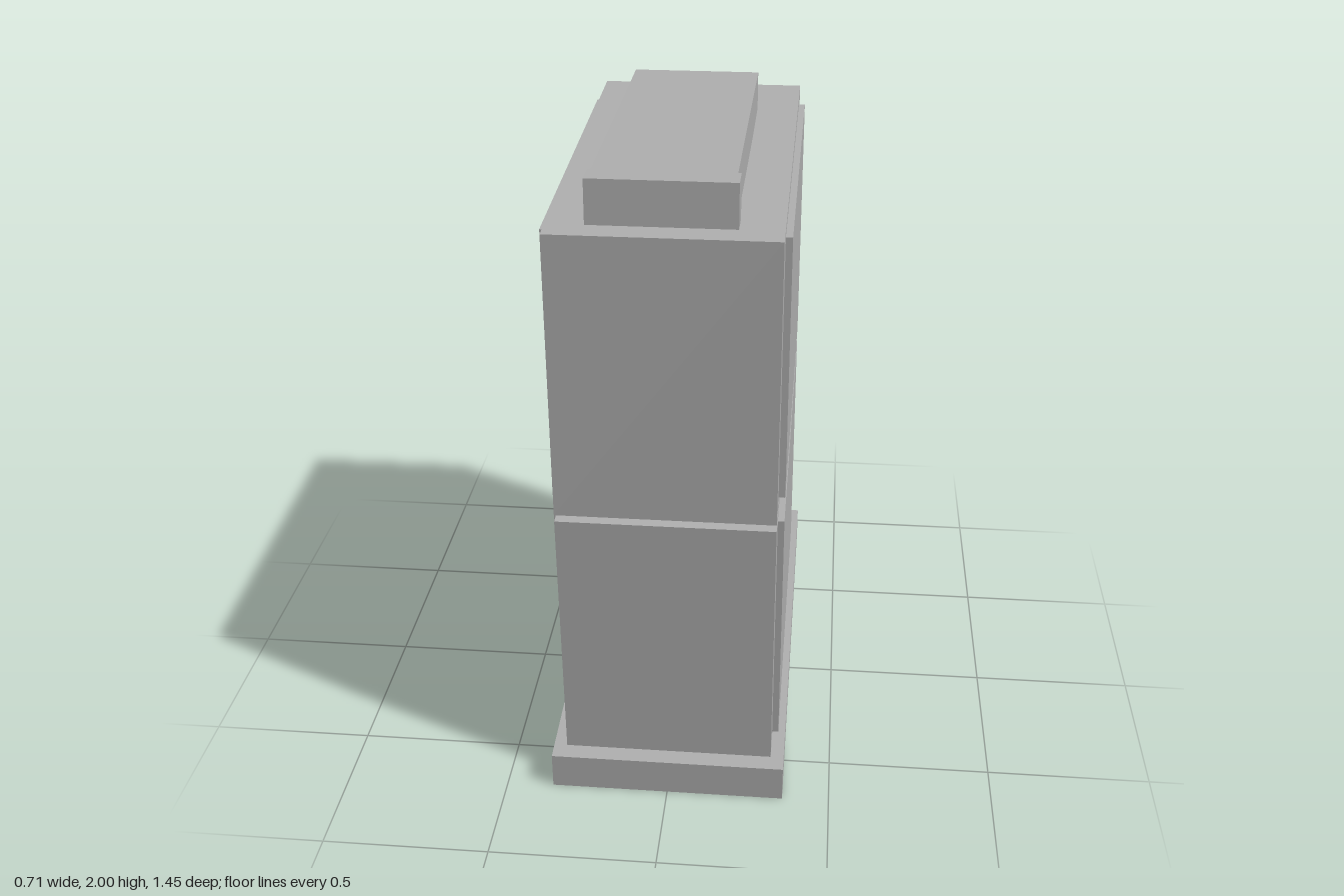
import * as THREE from 'three';

const grey = new THREE.MeshStandardMaterial({ color: 0xb0b0b0 });
grey.name = 'plain grey';

// Slab with a side profile of [z, y] corners, spanning x0 to x1
function slab(name, profile, x0, x1) {
  const shape = new THREE.Shape(profile.map(([z, y]) => new THREE.Vector2(z, y)));
  const geo = new THREE.ExtrudeGeometry(shape, { depth: x1 - x0, bevelEnabled: false });
  geo.rotateY(-Math.PI / 2); // profile x becomes z, depth runs to -x
  geo.translate(x1, 0, 0);
  const mesh = new THREE.Mesh(geo, grey);
  mesh.name = name;
  return mesh;
}

export function createModel() {
  const model = new THREE.Group();
  model.name = 'leaningCabinet';

  // Tilted plinth
  model.add(slab('base', [[0.684, 0], [0.69, 0.117], [-0.72, 0.21], [-0.726, 0.1]], -0.357, 0.357));

  // Two stacked bodies, parted by a wedge-shaped gap at the front
  model.add(slab('lowerBody',
    [[0.632, 0.06], [0.695, 0.964], [0.05, 1.01], [-0.604, 1.036], [-0.668, 0.15]], -0.317, 0.317));
  model.add(slab('upperBody',
    [[0.695, 0.985], [0.726, 1.845], [-0.573, 1.895], [-0.604, 1.036], [0.05, 1.01]], -0.317, 0.317));

  // Raised panels on both sides
  const panels = {
    lower: [[0.538, 0.142], [0.594, 0.939], [-0.507, 1.014], [-0.562, 0.217]],
    upper: [[0.6, 1.022], [0.628, 1.822], [-0.477, 1.86], [-0.506, 1.06]],
  };
  for (const [level, profile] of Object.entries(panels)) {
    model.add(slab(level + 'LeftPanel', profile, 0.31, 0.336));
    model.add(slab(level + 'RightPanel', profile, -0.336, -0.31));
  }

  // Block on top with a slightly wider front
  const top = new THREE.Group();
  top.name = 'topBlock';
  const box = (name, w, z0, z1) => {
    const mesh = new THREE.Mesh(new THREE.BoxGeometry(w, 0.125, z1 - z0), grey);
    mesh.position.set(0, 1.9375, (z0 + z1) / 2);
    mesh.name = name;
    top.add(mesh);
  };
  box('topBlockBody', 0.382, -0.332, 0.648);
  box('topBlockFront', 0.4, 0.648, 0.726);
  model.add(top);

  return model;
}
